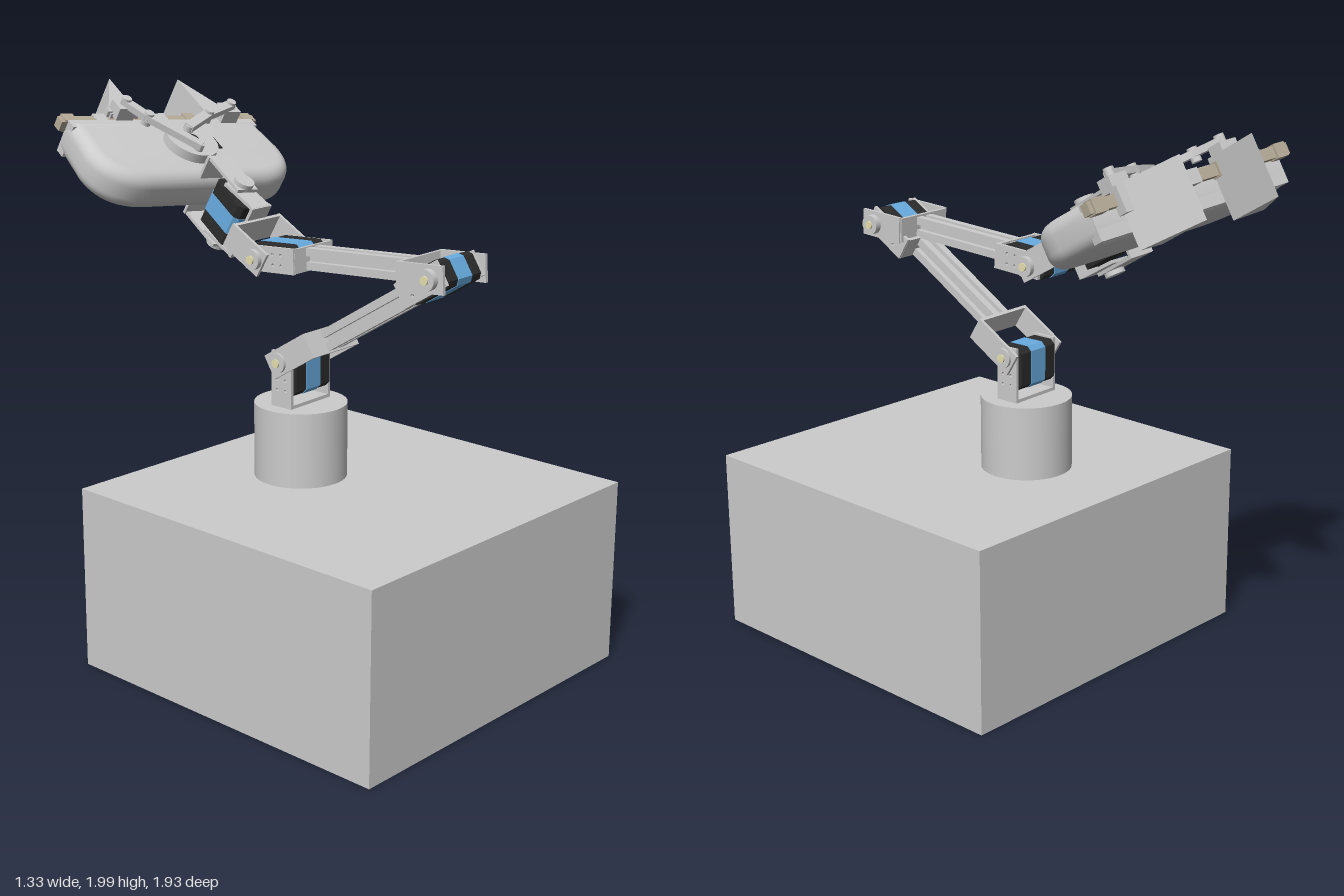
import * as THREE from 'three';
import { toCreasedNormals } from 'three/addons/utils/BufferGeometryUtils.js';

const mat = (color) => new THREE.MeshStandardMaterial({ color });
const grey = mat(0xcccccc), black = mat(0x2b2b2b), blue = mat(0x68ace0), cream = mat(0xe6dfae), tan = mat(0xb5ab98);

function add(parent, name, geo, material, x = 0, y = 0, z = 0) {
  const m = new THREE.Mesh(geo, material);
  m.name = name;
  m.position.set(x, y, z);
  parent.add(m);
  return m;
}
function box(parent, name, w, h, d, x, y, z, material = grey) {
  return add(parent, name, new THREE.BoxGeometry(w, h, d), material, x, y, z);
}
function group(parent, name, x, y, z, rx = 0, ry = 0) {
  const g = new THREE.Group();
  g.name = name;
  g.position.set(x, y, z);
  g.rotation.set(rx, ry, 0);
  parent.add(g);
  return g;
}
const polygon = (pts) => new THREE.Shape(pts.map(([x, y]) => new THREE.Vector2(x, y)));

// Flat plate in the z-y plane, drilled with a ring of bolt holes at each given z
function plate(z0, z1, h, holes, t = 0.012) {
  const s = polygon([[z0, -h / 2], [z1, -h / 2], [z1, h / 2], [z0, h / 2]]);
  for (const c of holes) for (let i = 0; i < 4; i++) {
    const a = Math.PI / 4 + i * Math.PI / 2;
    s.holes.push(new THREE.Path().absarc(c + 0.026 * Math.cos(a), 0.026 * Math.sin(a), 0.006, 0, Math.PI * 2, true));
  }
  const g = new THREE.ExtrudeGeometry(s, { depth: t, bevelEnabled: false, curveSegments: 8 });
  return g.translate(0, 0, -t / 2).rotateY(-Math.PI / 2);
}
function sidePlates(parent, name, x, z0, z1, h, holes) {
  for (const s of [-1, 1]) add(parent, name, plate(z0, z1, h, holes), grey, s * x, 0, 0);
}

// Output discs on both sides of a joint, axis along x
function horns(parent, x, z = 0, t = 0.025) {
  for (const s of [-1, 1]) {
    const disc = (r, l) => new THREE.CylinderGeometry(r, r, l, 24).rotateZ(Math.PI / 2);
    add(parent, 'jointDisc', disc(0.036, t), grey, s * x, 0, z);
    add(parent, 'jointBolt', disc(0.015, t + 0.012), cream, s * x, 0, z);
  }
}

// Motor: chamfered black body with a blue band round the middle, axis along x
function servo(parent, w, h, d, y, z) {
  const g = group(parent, 'servo', 0, y, z);
  const c = 0.016, a = d / 2, b = h / 2;
  const s = polygon([[-a + c, -b], [a - c, -b], [a, -b + c], [a, b - c], [a - c, b], [-a + c, b], [-a, b - c], [-a, -b + c]]);
  const body = (len) => new THREE.ExtrudeGeometry(s, { depth: len, bevelEnabled: false })
    .translate(0, 0, -len / 2).rotateY(-Math.PI / 2);
  add(g, 'servoBody', body(w), black);
  add(g, 'servoBand', body(w * 0.42).scale(1, 1.03, 1.03), blue);
  return g;
}

// Slotted aluminium beam running along z
function beam(parent, z0, z1) {
  const quarter = [[0.038, -0.038], [0.038, -0.01], [0.018, -0.01], [0.018, 0.01], [0.038, 0.01]];
  const pts = [];
  for (let i = 0; i < 4; i++) {
    const c = [1, 0, -1, 0][i], s = [0, 1, 0, -1][i];
    for (const [x, y] of quarter) pts.push([x * c - y * s, x * s + y * c]);
  }
  const g = new THREE.ExtrudeGeometry(polygon(pts), { depth: z1 - z0, bevelEnabled: false });
  add(parent, 'slottedBeam', g, grey, 0, 0, z0);
}

// Flat bar between two points of the gripper plane
function bar(parent, [x0, u0], [x1, u1], y, w = 0.036) {
  const dx = x1 - x0, du = u1 - u0;
  const m = box(parent, 'gripperLink', Math.hypot(dx, du) + 0.02, 0.024, w, (x0 + x1) / 2, y, -(u0 + u1) / 2);
  m.rotation.y = Math.atan2(du, dx);
}

function buildHead(wrist) {
  const head = group(wrist, 'gripperHead', 0, 0.05, -0.32);

  // Rounded housing with a straight far edge
  const s = new THREE.Shape();
  s.moveTo(-0.375, 0.13);
  s.lineTo(-0.39, 0.0);
  s.quadraticCurveTo(-0.39, -0.125, -0.25, -0.13);
  s.lineTo(0.25, -0.13);
  s.quadraticCurveTo(0.39, -0.125, 0.39, 0.0);
  s.lineTo(0.375, 0.13);
  s.closePath();
  const shell = new THREE.ExtrudeGeometry(s, {
    depth: 0.05, bevelSize: 0.05, bevelThickness: 0.05, bevelSegments: 6, curveSegments: 14,
  }).translate(0, 0, -0.1).rotateX(-Math.PI / 2);
  add(head, 'housing', toCreasedNormals(shell, 0.6), grey);
  box(head, 'housingEndPlate', 0.84, 0.13, 0.04, 0, -0.075, -0.16);

  // Slide rail with blocks
  box(head, 'slideRail', 0.89, 0.04, 0.035, 0, -0.035, -0.195, tan);
  for (let i = -3; i <= 3; i++) box(head, 'railBlock', 0.05, 0.05, 0.04, i * 0.135, -0.035, -0.2, i % 2 ? tan : grey);

  // Drive disc, dark windows
  add(head, 'driveDisc', new THREE.CylinderGeometry(0.1, 0.1, 0.035, 40), grey, 0, 0.017, 0);
  add(head, 'driveHub', new THREE.CylinderGeometry(0.022, 0.022, 0.012, 20), black, 0, 0.036, 0);
  box(head, 'topWindow', 0.04, 0.006, 0.065, 0.125, 0, -0.02, black);
  box(head, 'bottomWindow', 0.17, 0.006, 0.085, 0, -0.15, -0.01, black);

  // Bent linkages from the disc to each finger
  const links = [
    [[-0.015, -0.06], [-0.14, 0.11], [-0.185, 0.2]],
    [[0.01, 0.05], [0.145, 0.125], [0.285, 0.18]],
  ];
  for (const path of links) {
    for (let i = 0; i < 2; i++) bar(head, path[i], path[i + 1], 0.052);
    path.forEach(([x, u], i) => add(head, 'linkPin',
      new THREE.CylinderGeometry(0.018, 0.018, 0.05, 16), grey, x, i ? 0.048 : 0.035, -u));
    const [x, u] = path[2];
    box(head, 'fingerMount', 0.075, 0.05, 0.06, x, 0.02, -u);
    box(head, 'fingerCarriage', 0.09, 0.09, 0.04, x, -0.04, -0.215);
  }

  // Wedge fingers, straight on the inside edge
  for (const [inner, outer] of [[-0.115, -0.24], [0.202, 0.315]]) {
    const pts = [[inner, 0.185], [inner, 0.41], [outer, 0.205]];
    const g = new THREE.ExtrudeGeometry(polygon(pts), { depth: 0.215, bevelEnabled: false }).rotateX(-Math.PI / 2);
    add(head, 'wedgeFinger', g, grey, 0, -0.205, 0);
  }
}

export function createModel() {
  const model = new THREE.Group();
  model.name = 'robotArm';

  // Stand
  box(model, 'base', 1.33, 0.665, 1.325, 0, 0.3325, 0.2975);
  add(model, 'pedestal', new THREE.CylinderGeometry(0.165, 0.165, 0.27, 48), grey, -0.025, 0.8, 0.08);

  const arm = group(model, 'arm', -0.025, 0, 0.08, 0, 0.045);

  // Shoulder bracket and motor
  box(arm, 'shoulderBracketBase', 0.21, 0.012, 0.09, 0, 0.941, 0);
  for (const s of [-1, 1]) {
    const m = add(arm, 'shoulderBracketSide', plate(-0.1, 0.1, 0.09, [0.02]), grey, s * 0.1, 1.035, 0);
    m.rotation.x = Math.PI / 2;
  }
  servo(arm, 0.18, 0.15, 0.11, 1.055, 0);

  // Lower link
  const lower = group(arm, 'lowerLink', 0, 1.1, 0, -0.553);
  sidePlates(lower, 'lowerLinkPlate', 0.118, -0.045, 0.16, 0.09, [0]);
  box(lower, 'lowerLinkCrossPlate', 0.236, 0.09, 0.012, 0, 0, 0.154);
  horns(lower, 0.122);
  beam(lower, 0.155, 0.62);
  box(lower, 'elbowMount', 0.2, 0.085, 0.012, 0, 0, 0.595);
  sidePlates(lower, 'elbowMountPlate', 0.1, 0.59, 0.785, 0.09, [0.743, 0.66]);
  servo(lower, 0.18, 0.1, 0.17, 0, 0.7);

  // Upper link
  const upper = group(arm, 'upperLink', 0, 1.49, 0.633, -0.054);
  sidePlates(upper, 'upperLinkPlate', 0.118, -0.13, 0.055, 0.095, [0]);
  box(upper, 'upperLinkCrossPlate', 0.236, 0.09, 0.012, 0, 0, -0.13);
  horns(upper, 0.135);
  beam(upper, -0.6, -0.13);
  box(upper, 'wristMount', 0.2, 0.085, 0.012, 0, 0, -0.585);
  sidePlates(upper, 'wristMountPlate', 0.1, -0.78, -0.58, 0.09, [-0.741, -0.655]);
  servo(upper, 0.18, 0.095, 0.19, 0, -0.7);

  // Wrist pitch bracket
  const pitch = group(arm, 'wristPitch', 0, 1.45, -0.108, 0.525);
  sidePlates(pitch, 'wristPlate', 0.118, -0.14, 0.04, 0.095, [0]);
  horns(pitch, 0.13);
  box(pitch, 'wristCrossPlate', 0.236, 0.095, 0.012, 0, 0, -0.132);

  // Holder of the wrist motor, open towards the head
  box(pitch, 'motorHolderBase', 0.1, 0.215, 0.012, 0, -0.01, -0.142);
  for (const s of [-1, 1]) box(pitch, 'motorHolderArm', 0.09, 0.012, 0.15, 0, -0.01 + s * 0.102, -0.216);

  // Wrist yaw motor and the bracket that carries the head
  const yaw = group(pitch, 'wristYaw', 0, -0.01, -0.25, 0, -0.175);
  servo(yaw, 0.17, 0.1, 0.17, 0, 0).rotation.z = Math.PI / 2;
  box(yaw, 'headBracketBase', 0.1, 0.25, 0.012, 0, 0, -0.16);
  for (const s of [-1, 1]) {
    box(yaw, 'headBracketArm', 0.09, 0.012, 0.2, 0, s * 0.12, -0.066);
    add(yaw, 'yawDisc', new THREE.CylinderGeometry(0.036, 0.036, 0.025, 24), grey, 0, s * 0.13, 0);
  }

  buildHead(yaw);
  return model;
}
